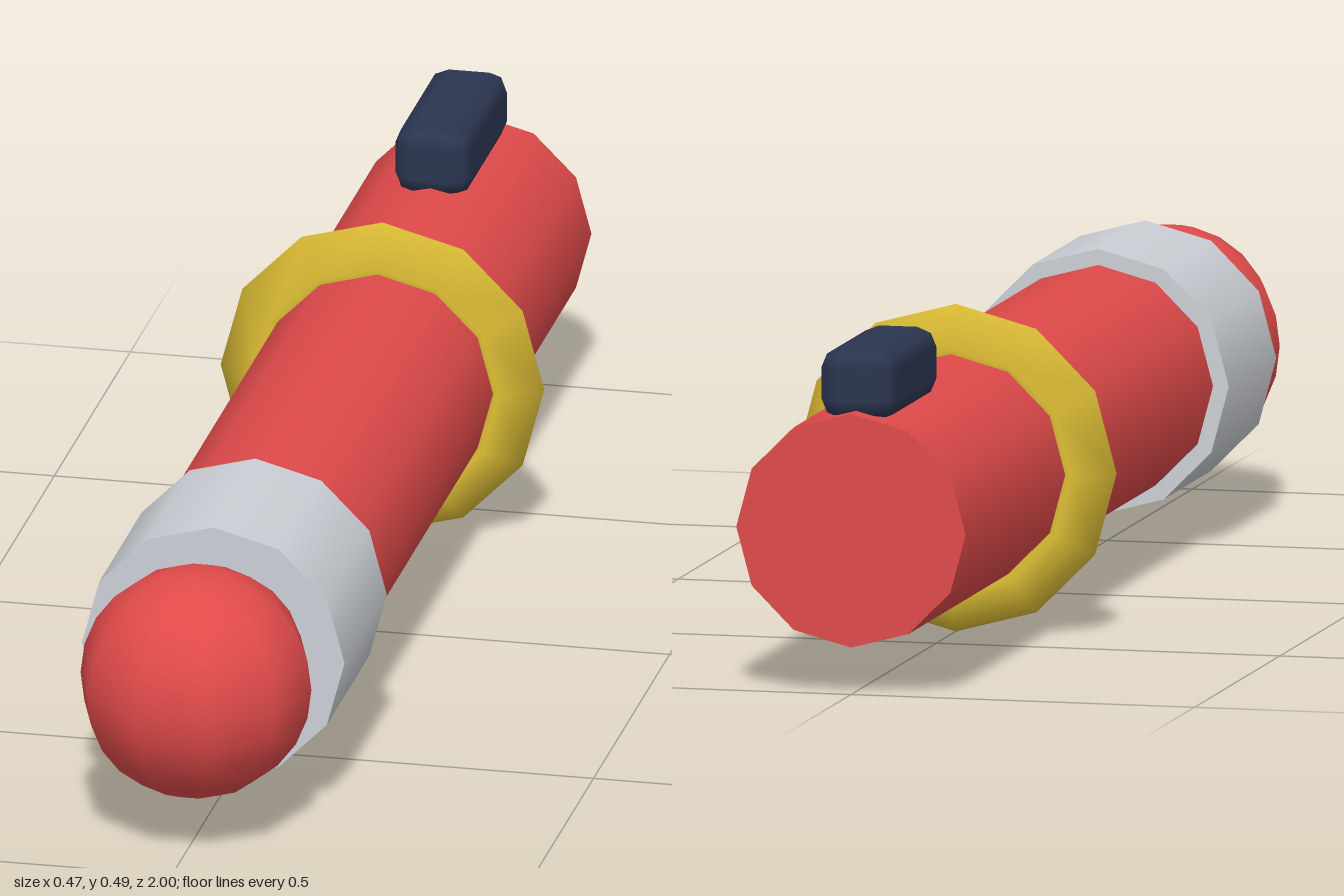
import * as THREE from 'three';
import { RoundedBoxGeometry } from 'three/addons/geometries/RoundedBoxGeometry.js';

const AXIS_Y = 0.235; // height of the long axis

function material(name, color) {
  const m = new THREE.MeshStandardMaterial({ color });
  m.name = name;
  return m;
}

// Twelve-sided cylinder lying along z, between two z positions
function rod(radius, zBack, zFront) {
  return new THREE.CylinderGeometry(radius, radius, zFront - zBack, 12)
    .rotateX(Math.PI / 2)
    .translate(0, 0, (zBack + zFront) / 2);
}

export function createModel() {
  const red = material('red', 0xe04a4a);
  const silver = material('silver', 0xccd0d6);
  const gold = material('gold', 0xe0c036);
  const navy = material('navy', 0x2b3550);

  const model = new THREE.Group();
  model.name = 'wand';
  function add(name, geometry, mat, y = AXIS_Y, z = 0) {
    const mesh = new THREE.Mesh(geometry, mat);
    mesh.name = name;
    mesh.position.set(0, y, z);
    model.add(mesh);
  }

  // Long handle and the collar around its front end
  add('body', rod(0.167, -1, 0.6), red);
  add('collar', rod(0.19, 0.45, 0.728), silver);

  // Round tip
  add('tip', new THREE.SphereGeometry(0.167, 10, 12), red, AXIS_Y, 0.841);

  // Sharp-edged ring with a diamond section, sunk into the handle
  const ring = new THREE.TorusGeometry(0.176, 0.058, 4, 12).scale(1, 1, 0.65);
  add('ring', ring, gold, AXIS_Y, -0.385);

  // Rounded switch on top near the back
  add('switch', new RoundedBoxGeometry(0.112, 0.1, 0.28, 1, 0.028), navy, 0.437, -0.836);

  return model;
}
